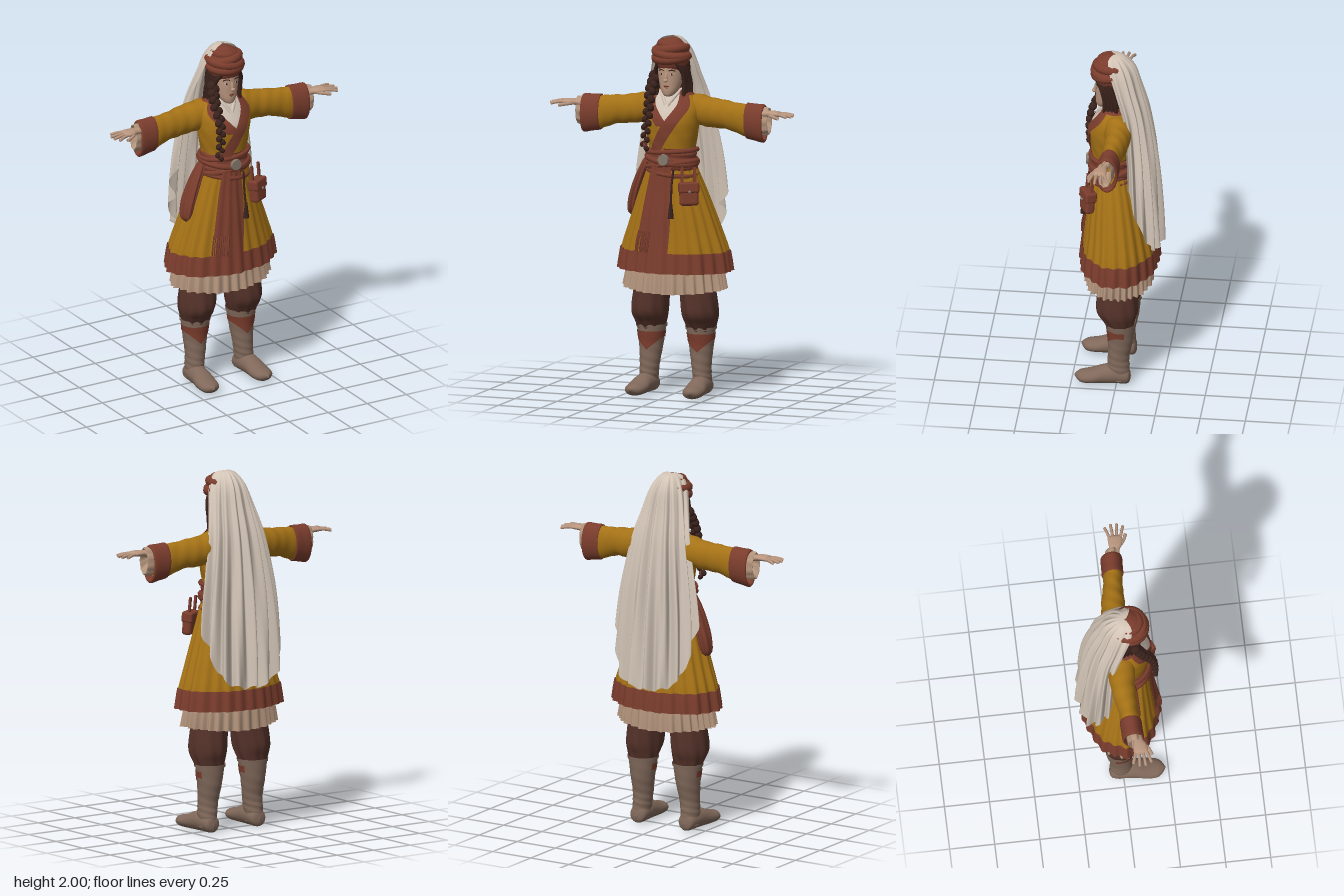
import * as THREE from 'three';
import { ParametricGeometry } from 'three/addons/geometries/ParametricGeometry.js';
import { RoundedBoxGeometry } from 'three/addons/geometries/RoundedBoxGeometry.js';

const { sin, cos, PI, abs, max, min } = Math;
const mat = (name, color) => {
  const m = new THREE.MeshStandardMaterial({ color, side: THREE.DoubleSide });
  m.name = name;
  return m;
};

// Smoothly interpolates rows of numbers, v from 0 to 1
function sample(rows, v) {
  const n = rows.length - 1, t = min(max(v, 0), 1) * n, i = min(Math.floor(t), n - 1), f = t - i;
  const r = k => rows[min(max(k, 0), n)];
  return rows[0].map((_, c) => {
    const p0 = r(i - 1)[c], p1 = r(i)[c], p2 = r(i + 1)[c], p3 = r(i + 2)[c];
    return p1 + 0.5 * f * (p2 - p0 + f * (2 * p0 - 5 * p1 + 4 * p2 - p3 + f * (3 * (p1 - p2) + p3 - p0)));
  });
}

// Elliptical skin through rings [y, cx, cz, rx, rz]; angle 0 is the front
const skin = (rings, fold = () => 0) => (a, v, off = 0) => {
  const [y, cx, cz, rx, rz] = sample(rings, v), k = 1 + fold(a, v);
  return [cx + (max(rx, 0.0005) * k + off) * sin(a), y, cz + (max(rz, 0.0005) * k + off) * cos(a)];
};
const surface = (fn, nu, nv) => new ParametricGeometry((u, v, p) => p.set(...fn(u, v)), nu, nv);
const around = (fn, nu = 32, nv = 24, v0 = 0, v1 = 1, off = 0) =>
  surface((u, w) => fn(u * 2 * PI, v0 + (v1 - v0) * w, off), nu, nv);
const patch = (fn, map, off, nu = 16, nv = 24) =>
  surface((u, w) => fn(...map(u, w), off), nu, nv);
const rope = (pts, r, closed = false, seg = 32) =>
  new THREE.TubeGeometry(new THREE.CatmullRomCurve3(pts.map(p => new THREE.Vector3(...p)), closed), seg, r, 7, closed);

export function createModel() {
  const root = new THREE.Group();
  root.name = 'robedWoman';
  const M = {
    mustard: mat('mustard cloth', 0xa57216), rust: mat('rust cloth', 0x7b3d2d), veil: mat('veil cream', 0xd2c4b6),
    linen: mat('linen', 0xb4957d), skin: mat('skin', 0xb8957e), pants: mat('brown trousers', 0x543229),
    boot: mat('boot leather', 0x80685a), hair: mat('dark hair', 0x3a221c), metal: mat('dull metal', 0x85786c),
  };
  const add = (name, geo, m, parent = root) => {
    const mesh = new THREE.Mesh(geo, m);
    mesh.name = name;
    parent.add(mesh);
    return mesh;
  };
  const ball = (name, m, p, s) => {
    const b = add(name, new THREE.SphereGeometry(1, 18, 14), m);
    b.position.set(...p);
    b.scale.set(...s);
    return b;
  };

  // Legs, boots, arms and hands, mirrored
  for (const s of [1, -1]) {
    const side = s > 0 ? 'left' : 'right';
    const leg = skin([[0.35, s * 0.148, -0.02, 0.07, 0.07], [0.4, s * 0.148, -0.01, 0.088, 0.09],
      [0.46, s * 0.148, 0, 0.1, 0.115], [0.56, s * 0.138, 0, 0.1, 0.112], [0.66, s * 0.12, 0, 0.1, 0.11],
      [0.78, s * 0.1, 0, 0.1, 0.11]], (a, v) => 0.05 * (1 - v) * cos(9 * a + 5 * v));
    add(side + 'Trouser', around(leg, 54), M.pants);
    const shaft = skin([[0.03, s * 0.16, -0.015, 0.05, 0.055], [0.1, s * 0.157, -0.01, 0.052, 0.061],
      [0.17, s * 0.152, -0.01, 0.056, 0.06], [0.27, s * 0.148, -0.02, 0.068, 0.07],
      [0.38, s * 0.146, -0.02, 0.083, 0.081]], (a, v) => 0.03 * (1 - v) * sin(45 * v + 2 * a));
    add(side + 'BootShaft', around(shaft, 32, 30), M.boot);
    add(side + 'BootCuff', around(shaft, 32, 3, 0.95, 1, 0.005), M.boot);
    add(side + 'BootInlay', patch(shaft, (u, w) => {
      const a = (u - 0.5) * 3.8, low = 0.68 + 0.15 * abs(sin(a));
      return [a, low + (0.9 - low) * w];
    }, 0.003, 32, 8), M.rust);
    const foot = around(skin([[-0.077, 0, -0.04, 0.005, 0.01], [-0.062, 0, -0.046, 0.045, 0.045],
      [0, 0, -0.056, 0.054, 0.056], [0.07, 0, -0.053, 0.055, 0.053], [0.14, 0, -0.04, 0.06, 0.039],
      [0.2, 0, -0.036, 0.048, 0.03], [0.233, 0, -0.042, 0.004, 0.006]]), 24, 24);
    const shoe = add(side + 'BootFoot', foot.rotateX(PI / 2), M.boot);
    shoe.position.x = s * 0.16;
    shoe.rotation.y = s * 0.06;

    // Rings [x, y, z, half height, half depth] laid along the arm
    const limb = (rows, fold, nu, nv, v0, v1, off) => around(
      skin(rows.map(([x, y, z, h, d]) => [x, -s * y, z, h, d]), fold), nu, nv, v0, v1, off).rotateZ(-s * PI / 2);
    const sleeve = [[0.04, 1.6, 0, 0.07, 0.06], [0.13, 1.59, -0.005, 0.085, 0.075], [0.23, 1.575, -0.01, 0.083, 0.068],
      [0.33, 1.565, 0, 0.08, 0.058], [0.43, 1.545, 0.01, 0.092, 0.053], [0.53, 1.535, 0.014, 0.1, 0.054]];
    const wrinkle = (a, v) => 0.035 * sin(32 * v + 2 * cos(a)) * sin(a + 11 * v);
    add(side + 'Sleeve', limb(sleeve, wrinkle, 32, 48), M.mustard);
    add(side + 'Cuff', limb([[0.432, 1.545, 0.01, 0.09, 0.05], [0.434, 1.545, 0.01, 0.1, 0.06], [0.48, 1.54, 0.012, 0.103, 0.06],
      [0.53, 1.535, 0.014, 0.107, 0.06], [0.534, 1.535, 0.014, 0.09, 0.048], [0.5, 1.54, 0.014, 0.085, 0.044]]), M.rust);
    add(side + 'InnerSleeve', limb([[0.46, 1.55, 0.016, 0.078, 0.042], [0.52, 1.55, 0.018, 0.08, 0.042],
      [0.56, 1.552, 0.022, 0.076, 0.04], [0.561, 1.555, 0.022, 0.066, 0.034], [0.5, 1.57, 0.02, 0.03, 0.03]],
    (a) => 0.04 * cos(9 * a)), M.linen);
    add(side + 'Palm', limb([[0.45, 1.585, 0.02, 0.028, 0.03], [0.55, 1.594, 0.035, 0.019, 0.027],
      [0.59, 1.598, 0.043, 0.017, 0.037], [0.63, 1.598, 0.045, 0.014, 0.04], [0.645, 1.597, 0.045, 0.003, 0.03]]), M.skin);
    for (let i = 0; i < 4; i++) {
      const k = i - 1.5, tip = 0.714 - 0.008 * k * k;
      add(side + 'Finger', rope([[s * 0.62, 1.598, 0.045 + k * 0.019], [s * 0.66, 1.597, 0.046 + k * 0.026],
        [s * tip, 1.589, 0.046 + k * 0.034]], 0.0085, false, 8), M.skin);
    }
    add(side + 'Thumb', rope([[s * 0.575, 1.592, 0.06], [s * 0.61, 1.588, 0.088], [s * 0.65, 1.582, 0.106]], 0.0095, false, 8), M.skin);
  }

  // Underskirt and coat skirt with pleats
  const under = skin([[0.575, 0, 0.002, 0.29, 0.182], [0.68, 0, 0, 0.275, 0.175], [0.82, 0, 0, 0.25, 0.16]],
    (a, v) => (1 - 0.6 * v) * (0.045 * cos(30 * a + sin(3 * a)) + 0.02 * sin(11 * a)));
  add('underskirt', surface((u, v) => {
    const p = under(u * 2 * PI, v);
    p[1] += 0.02 * (1 - v) * sin(u * 2 * PI) ** 2;
    return p;
  }, 240, 10), M.linen);
  const skirt = skin([[0.695, 0, 0, 0.322, 0.212], [0.81, 0, 0, 0.303, 0.2], [0.92, 0, 0.006, 0.268, 0.182],
    [1.03, 0, 0.015, 0.23, 0.163], [1.15, 0, 0.025, 0.186, 0.14], [1.29, 0, 0.04, 0.13, 0.114]],
  (a, v) => (1 - 0.55 * v) * (0.026 * cos(24 * a + 2 * sin(2 * a)) + 0.018 * cos(9 * a + 1)));
  add('coatSkirt', around(skirt, 200, 30), M.mustard);
  add('hemTrim', around(skirt, 200, 8, 0, 0.195, 0.006), M.rust);
  add('frontPanel', patch(skirt, (u, w) => [-0.46 + u * (0.53 + 0.2 * w), w], 0.009, 24, 24), M.rust);
  add('sashTail', patch(skirt, (u, w) => [-0.53 + u * 0.3, 0.4 + 0.6 * w], 0.022), M.rust);
  for (let i = 0; i < 9; i++) {
    const a = -0.53 + i * 0.0375;
    add('fringe', rope([skirt(a, 0.41, 0.022), skirt(a, 0.3, 0.026), skirt(a + 0.01 * sin(i * 3), 0.2, 0.022)], 0.004, false, 8), M.rust);
  }

  // Bodice with crossing lapels
  const torso = skin([[1.3, 0, 0.04, 0.125, 0.112], [1.38, 0, 0.04, 0.13, 0.115], [1.46, 0, 0.04, 0.146, 0.122],
    [1.54, 0, 0.04, 0.156, 0.122], [1.62, 0, 0.025, 0.157, 0.1], [1.7, 0, 0.015, 0.082, 0.062]],
  (a, v) => 0.012 * sin(8 * a + 20 * v) * (1 - v));
  add('bodice', around(torso, 48, 30), M.mustard);
  add('shirt', patch(torso, (u, w) => {
    const v = 0.56 + 0.44 * w, a0 = -2 * (v - 0.55), a1 = -0.7 + 1.6 * v;
    return [a0 + (a1 - a0) * u, v];
  }, 0.004), M.veil);
  add('innerLapel', patch(torso, (u, w) => [-2.1 * w * 0.48 - 0.3 + u * 0.48, 0.52 + 0.48 * w], 0.008), M.rust);
  add('outerLapel', patch(torso, (u, w) => [-0.7 + 1.6 * (0.1 + 0.9 * w) - 0.24 + u * 0.5, 0.1 + 0.9 * w], 0.013), M.rust);
  add('collar', patch(torso, (u, w) => [0.9 + u * (2 * PI - 1.9), 0.92 + 0.08 * w], 0.009, 32, 4), M.rust);
  for (const s of [1, -1])
    add('shirtCollar', rope([[s * 0.058, 1.705, 0.04], [s * 0.04, 1.675, 0.088], [0.004 * s, 1.62, 0.125]], 0.011, false, 12), M.veil);

  // Wrapped sash, clasp and hanging things
  const sash = skin([[1.24, 0, 0.036, 0.14, 0.118], [1.29, 0, 0.04, 0.14, 0.122], [1.34, 0, 0.042, 0.136, 0.12],
    [1.385, 0, 0.042, 0.131, 0.113]], (a, v) => 0.02 * sin(26 * v + 2 * sin(a)));
  add('sash', around(sash, 48, 24), M.rust);
  for (const [y, tilt, r] of [[1.36, 0.012, 0.013], [1.315, -0.022, 0.016], [1.285, 0.025, 0.015], [1.25, -0.02, 0.013]]) {
    const pts = Array.from({ length: 16 }, (_, i) => {
      const a = i * PI / 8;
      return [0.14 * sin(a), y + tilt * sin(a + 0.5), 0.041 + 0.121 * cos(a)];
    });
    add('sashWrap', rope(pts, r, true, 48), M.rust);
  }
  const clasp = add('clasp', new THREE.CylinderGeometry(0.03, 0.032, 0.016, 24), M.metal);
  clasp.rotation.x = PI / 2;
  clasp.position.set(0, 1.325, 0.178);
  const pouch = new THREE.Group();
  pouch.name = 'beltPouch';
  pouch.position.set(0.146, 1.14, 0.163);
  pouch.rotation.set(-0.1, 0.5, 0.06);
  root.add(pouch);
  add('pouchBody', new RoundedBoxGeometry(0.105, 0.125, 0.055, 3, 0.018), M.rust, pouch);
  add('pouchFlap', new RoundedBoxGeometry(0.112, 0.06, 0.066, 3, 0.012), M.rust, pouch).position.y = 0.038;
  add('pouchButton', new THREE.SphereGeometry(0.008, 10, 8), M.metal, pouch).position.set(0, 0.015, 0.034);
  for (const x of [-0.035, 0.035])
    add('pouchStrap', new THREE.BoxGeometry(0.016, 0.1, 0.012), M.rust, pouch).position.set(x, 0.1, -0.005);
  add('tasselCord', rope([[0.055, 1.27, 0.165], [0.05, 1.18, 0.18], [0.052, 1.09, 0.192]], 0.006, false, 12), M.hair);
  const tassel = add('tassel', new THREE.CylinderGeometry(0.007, 0.017, 0.09, 10), M.hair);
  tassel.position.set(0.052, 1.05, 0.197);
  add('hipScarf', around(skin([[0.99, -0.243, 0.03, 0.004, 0.02], [1.02, -0.238, 0.03, 0.024, 0.045],
    [1.1, -0.222, 0.03, 0.03, 0.055], [1.2, -0.188, 0.035, 0.03, 0.048], [1.29, -0.15, 0.04, 0.025, 0.035],
    [1.34, -0.13, 0.04, 0.012, 0.02]], (a, v) => 0.08 * cos(7 * a + 4 * v)), 42), M.rust);

  // Head and face
  add('neck', new THREE.CylinderGeometry(0.042, 0.055, 0.16, 20), M.skin).position.set(0, 1.66, 0.04);
  add('head', around(skin([[1.668, 0, 0.1, 0.003, 0.003], [1.674, 0, 0.098, 0.024, 0.027], [1.7, 0, 0.08, 0.047, 0.053],
    [1.74, 0, 0.066, 0.062, 0.068], [1.79, 0, 0.058, 0.071, 0.077], [1.84, 0, 0.053, 0.074, 0.081],
    [1.9, 0, 0.05, 0.07, 0.075]])), M.skin);
  ball('noseBridge', M.skin, [0, 1.782, 0.134], [0.009, 0.032, 0.011]).rotation.x = -0.22;
  ball('noseTip', M.skin, [0, 1.762, 0.144], [0.013, 0.01, 0.012]);
  ball('upperLip', M.rust, [0, 1.729, 0.13], [0.018, 0.005, 0.007]);
  ball('lowerLip', M.rust, [0, 1.721, 0.128], [0.014, 0.005, 0.007]);
  for (const s of [1, -1]) {
    ball('eyeWhite', M.veil, [s * 0.029, 1.795, 0.125], [0.013, 0.006, 0.004]).rotation.y = s * 0.4;
    ball('iris', M.hair, [s * 0.029, 1.795, 0.1275], [0.006, 0.006, 0.003]);
    add('eyebrow', rope([[s * 0.013, 1.815, 0.132], [s * 0.03, 1.82, 0.127], [s * 0.047, 1.813, 0.116]], 0.0035, false, 8), M.hair);
    for (let i = 0; i < 4; i++)
      add('hairLock', rope([[s * (0.04 + i * 0.012), 1.87, 0.125 - i * 0.02], [s * (0.078 + i * 0.004), 1.81, 0.092 - i * 0.018],
        [s * (0.083 + i * 0.005), 1.74, 0.075 - i * 0.02], [s * (0.078 + 0.006 * i), 1.67, 0.075 - i * 0.022]], 0.013, false, 16), M.hair);
  }
  add('backHair', around(skin([[1.64, 0, -0.01, 0.06, 0.035], [1.72, 0, 0, 0.085, 0.05],
    [1.8, 0, 0.01, 0.09, 0.07], [1.9, 0, 0.03, 0.085, 0.075]], (a) => 0.03 * cos(16 * a)), 48), M.hair);

  // Braid of overlapping strands over the chest
  const braid = new THREE.CatmullRomCurve3([[-0.088, 1.78, 0.075], [-0.1, 1.7, 0.115], [-0.094, 1.6, 0.162],
    [-0.1, 1.5, 0.183], [-0.11, 1.385, 0.182]].map(p => new THREE.Vector3(...p)));
  for (let i = 0; i < 20; i++) {
    const t = i / 19, p = braid.getPoint(t), s = i % 2 ? 1 : -1, w = 1.1 - 0.45 * t;
    ball('braidStrand', M.hair, [p.x + s * 0.011, p.y, p.z], [0.021 * w, 0.027 * w, 0.025 * w]).rotation.z = s * 0.6;
  }
  add('braidTie', new THREE.CylinderGeometry(0.016, 0.016, 0.018, 12), M.rust).position.set(-0.108, 1.41, 0.183);

  // Wrapped turban
  ball('turbanCrown', M.rust, [0, 1.885, 0.05], [0.1, 0.108, 0.1]);
  for (const [y, R, r, tx, tz] of [[1.885, 0.086, 0.027, 0.12, 0.05], [1.905, 0.087, 0.026, 0.05, -0.16],
    [1.925, 0.076, 0.027, -0.1, 0.14], [1.95, 0.056, 0.025, -0.08, -0.12]]) {
    const wrap = add('turbanWrap', new THREE.TorusGeometry(R, r, 12, 40).rotateX(PI / 2), M.rust);
    wrap.position.set(0, y, 0.05);
    wrap.rotation.set(tx, 0, tz);
  }

  // Long veil: open half ellipses [y, half width, front z, depth] with deepening folds
  const drape = [[2, 0.006, 0.035, 0.01], [1.985, 0.06, 0.055, 0.085], [1.92, 0.105, 0.04, 0.122], [1.8, 0.14, 0.0, 0.115],
    [1.65, 0.175, -0.045, 0.108], [1.45, 0.21, -0.065, 0.118], [1.25, 0.238, -0.075, 0.128],
    [1.02, 0.255, -0.085, 0.134], [0.82, 0.26, -0.09, 0.138]];
  add('veil', surface((u, v) => {
    const q = 2 * u - 1, t = v * (1 - 0.26 * abs(q) ** 2.2 * v);
    const [y, rx, z, rz] = sample(drape, t), th = q * 1.62;
    const depth = min(1, t * 1.5) * (0.105 * cos(q * 9 * PI + 1.2 * sin(3 * t)) + 0.04 * sin(q * 43 + 3 * t));
    const hem = 0.012 * v ** 6 * cos(q * 27);
    return [rx * (1 + depth * 0.8) * sin(th), y + hem, z - rz * (1 + depth * 1.3) * cos(th)];
  }, 200, 60), M.veil);

  return root;
}
